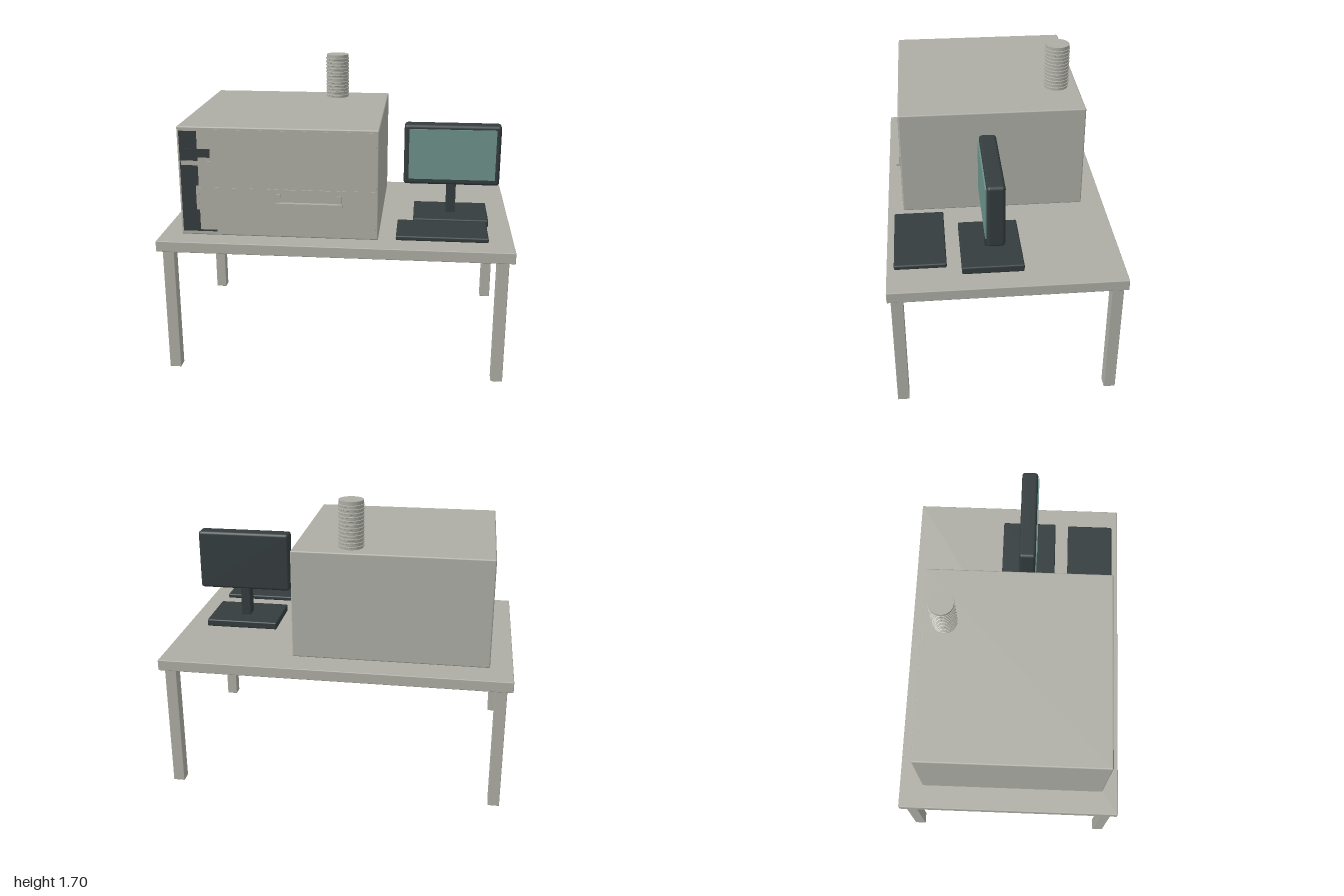
import * as THREE from 'three';
import { RoundedBoxGeometry } from 'three/addons/geometries/RoundedBoxGeometry.js';

const mat = (name, color) => {
  const m = new THREE.MeshStandardMaterial({ color });
  m.name = name;
  return m;
};

export function createModel() {
  const model = new THREE.Group();
  model.name = 'instrumentBench';
  const grey = mat('warm grey', 0xadada5);
  const dark = mat('charcoal', 0x343c3e);
  const glass = mat('screen teal', 0x6c9089);

  // Box given by its limits on each axis, with optional rounded edges
  function box(name, material, [x0, x1], [y0, y1], [z0, z1], radius = 0, parent = model) {
    const size = [x1 - x0, y1 - y0, z1 - z0];
    const geometry = radius ? new RoundedBoxGeometry(...size, 2, radius) : new THREE.BoxGeometry(...size);
    const mesh = new THREE.Mesh(geometry, material);
    mesh.position.set((x0 + x1) / 2, (y0 + y1) / 2, (z0 + z1) / 2);
    mesh.name = name;
    parent.add(mesh);
    return mesh;
  }
  function group(name) {
    const g = new THREE.Group();
    g.name = name;
    model.add(g);
    return g;
  }

  // Table
  const table = group('table');
  box('tableTop', grey, [-1, 1], [0.73, 0.793], [-0.645, 0.645], 0.004, table);
  for (const x of [-0.935, 0.935]) for (const z of [-0.593, 0.593]) {
    box('tableLeg', grey, [x - 0.033, x + 0.033], [0, 0.735], [z - 0.033, z + 0.033], 0.003, table);
  }

  // Instrument cabinet on four feet
  const cabinet = group('cabinet');
  box('cabinetBody', grey, [-0.87, 0.245], [0.808, 1.435], [-0.51, 0.552], 0.008, cabinet);
  for (const x of [-0.782, 0.152]) for (const z of [-0.428, 0.472]) {
    const foot = new THREE.Mesh(new THREE.CylinderGeometry(0.032, 0.032, 0.024, 24), dark);
    foot.position.set(x, 0.802, z);
    foot.name = 'cabinetFoot';
    cabinet.add(foot);
  }

  // Front panels and control column
  const front = group('cabinetFront');
  box('upperDoor', grey, [-0.758, 0.232], [1.093, 1.42], [0.55, 0.554], 0, front);
  box('lowerDoor', grey, [-0.758, 0.232], [0.842, 1.089], [0.55, 0.554], 0, front);
  box('controlColumn', dark, [-0.858, -0.759], [0.833, 1.41], [0.55, 0.555], 0, front);
  box('columnFoot', dark, [-0.858, -0.665], [0.831, 0.84], [0.55, 0.555], 0, front);
  box('controlBlock', dark, [-0.845, -0.688], [1.262, 1.31], [0.55, 0.558], 0, front);
  box('controlBar', grey, [-0.852, -0.685], [1.217, 1.242], [0.55, 0.558], 0, front);
  box('columnNotch', grey, [-0.775, -0.758], [0.96, 1.1], [0.55, 0.556], 0, front);

  // Drawer with pull handle
  const drawer = group('drawer');
  box('drawerFace', grey, [-0.34, 0.063], [0.928, 1.088], [0.55, 0.557], 0, drawer);
  box('handleBar', grey, [-0.325, 0.047], [1.0, 1.016], [0.555, 0.583], 0, drawer);
  for (const x of [-0.309, 0.032]) {
    box('handlePost', grey, [x - 0.011, x + 0.011], [1.012, 1.063], [0.55, 0.567], 0, drawer);
  }

  // Ribbed exhaust duct
  const profile = [[0, 1.43], [0.069, 1.43]];
  const ribs = 12;
  for (let i = 0; i < ribs; i++) {
    const y = 1.444 + i * 0.0208;
    profile.push([0.069, y], [0.073, y + 0.002], [0.073, y + 0.008], [0.069, y + 0.01]);
  }
  profile.push([0.069, 1.703], [0, 1.703]);
  // Flat-sided segments give each rib a crisp edge
  for (let i = 0; i < profile.length - 1; i++) {
    const pair = [profile[i], profile[i + 1]].map(([r, y]) => new THREE.Vector2(r, y));
    const band = new THREE.Mesh(new THREE.LatheGeometry(pair, 32), grey);
    band.position.set(-0.075, 0, -0.382);
    band.name = 'exhaustDuct';
    model.add(band);
  }

  // Monitor
  const monitor = group('monitor');
  box('monitorBase', dark, [0.433, 0.872], [0.793, 0.837], [-0.097, 0.24], 0.008, monitor);
  box('monitorNeck', dark, [0.625, 0.68], [0.83, 1.03], [0.02, 0.104], 0, monitor);
  box('monitorHousing', dark, [0.369, 0.934], [1.008, 1.37], [0.015, 0.111], 0.018, monitor);
  box('monitorScreen', glass, [0.398, 0.906], [1.044, 1.345], [0.11, 0.119], 0, monitor);

  // Keyboard
  box('keyboard', dark, [0.345, 0.852], [0.83, 0.857], [0.32, 0.602], 0.008);

  return model;
}
